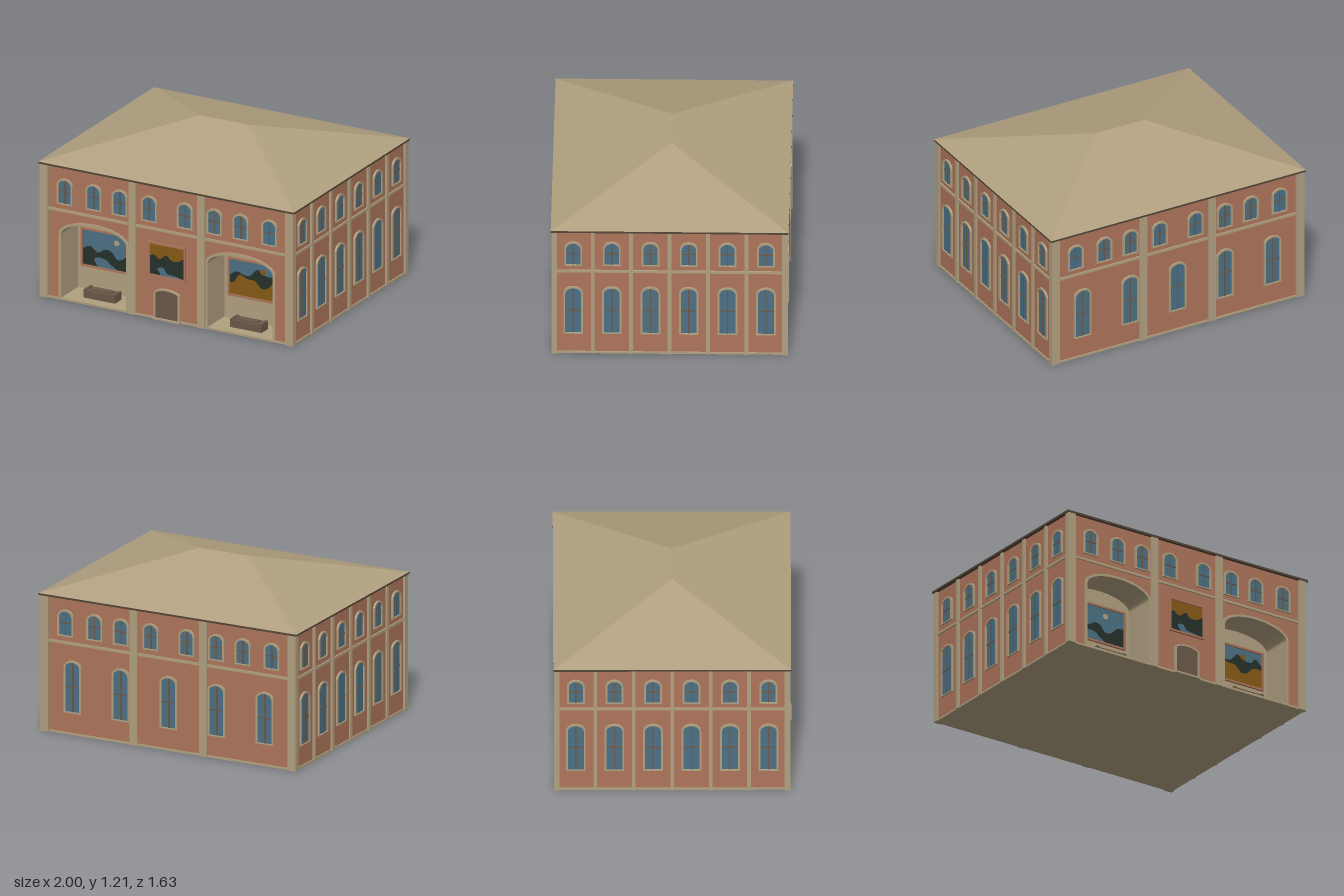
import * as THREE from 'three';

const mat = (name, color) => Object.assign(new THREE.MeshStandardMaterial({ color }), { name });
const M = {
  stone: mat('stone', 0xb1a080),
  brick: mat('brick', 0xae755b),
  glass: mat('blue', 0x4c7084),
  wood: mat('wood', 0x6b5848),
  eave: mat('eaveBrown', 0x544638),
  dark: mat('darkGreen', 0x26302a),
  ochre: mat('ochre', 0x865a14),
};
const WALL_Z = 0.79, WALL_X = 0.975, NICHE_Z = 0.565, TOP = 0.975;

function add(parent, name, geo, material, x = 0, y = 0, z = 0) {
  const m = new THREE.Mesh(geo, material);
  m.name = name;
  m.position.set(x, y, z);
  parent.add(m);
  return m;
}
// box given by its min and max on each axis
function box(parent, name, material, x0, x1, y0, y1, z0, z1) {
  return add(parent, name, new THREE.BoxGeometry(x1 - x0, y1 - y0, z1 - z0), material,
    (x0 + x1) / 2, (y0 + y1) / 2, (z0 + z1) / 2);
}
// opening with straight sides and an elliptical head
function arch(cx, y0, y1, w, rise, C = THREE.Shape) {
  const s = new C();
  s.moveTo(cx - w / 2, y0);
  s.lineTo(cx + w / 2, y0);
  s.lineTo(cx + w / 2, y1 - rise);
  s.absellipse(cx, y1 - rise, w / 2, rise, 0, Math.PI, false, 0);
  s.lineTo(cx - w / 2, y0);
  return s;
}
function rect(x0, x1, y0, y1, C = THREE.Shape) {
  return new C([[x0, y0], [x1, y0], [x1, y1], [x0, y1]].map(p => new THREE.Vector2(...p)));
}
const extrude = (shape, depth) =>
  new THREE.ExtrudeGeometry(shape, { depth, bevelEnabled: false, curveSegments: 14 });

// arched window, built on the plane z = 0 facing +z
function archWindow(parent, cx, y0, y1, w) {
  const g = new THREE.Group();
  g.name = 'archedWindow';
  const t = 0.013, rise = 0.05;
  const ring = arch(cx, y0, y1, w, rise);
  ring.holes.push(arch(cx, y0 + t * 0.6, y1 - t, w - 2 * t, rise - t * 0.6, THREE.Path));
  add(g, 'windowFrame', extrude(ring, 0.013), M.stone);
  add(g, 'windowGlass', extrude(arch(cx, y0 + 0.003, y1 - 0.006, w - 0.01, rise - 0.005), 0.004), M.glass);
  const mid = (y0 + y1) / 2;
  box(g, 'mullion', M.wood, cx - 0.004, cx + 0.004, y0 + 0.006, y1 - t, 0.003, 0.008);
  box(g, 'transom', M.wood, cx - w / 2 + t, cx + w / 2 - t, mid - 0.004, mid + 0.004, 0.003, 0.008);
  parent.add(g);
}
// one wall's trim, built at z = 0 and turned to its side
function facade(parent, name, angle, dist, half, pilasters, pw, upper, lower) {
  const g = new THREE.Group();
  g.name = name;
  for (const x of pilasters) box(g, 'pilaster', M.stone, x - pw / 2, x + pw / 2, 0, TOP, -0.01, 0.015);
  box(g, 'stringCourse', M.stone, -half, half, 0.645, 0.663, -0.01, 0.01);
  for (const x of upper) archWindow(g, x, 0.7, 0.89, 0.122);
  for (const x of lower) archWindow(g, x, 0.157, 0.532, 0.135);
  g.rotation.y = angle;
  g.position.set(Math.sin(angle) * dist, 0, Math.cos(angle) * dist);
  parent.add(g);
}
// thin painted area whose top edge runs smoothly through points
function hills(parent, name, material, pts, base, z) {
  const s = new THREE.Shape();
  s.moveTo(pts[0][0], base);
  s.lineTo(...pts[0]);
  s.splineThru(pts.slice(1).map(p => new THREE.Vector2(...p)));
  s.lineTo(pts[pts.length - 1][0], base);
  add(parent, name, extrude(s, 0.002), material, 0, 0, z);
}
// framed mural: frame, sky, then layers of hills and an optional disc
function mural(parent, name, x0, x1, y0, y1, z, sky, layers, disc) {
  const g = new THREE.Group();
  g.name = name;
  const t = 0.014;
  const ring = rect(x0, x1, y0, y1);
  ring.holes.push(rect(x0 + t, x1 - t, y0 + t, y1 - t, THREE.Path));
  add(g, 'muralFrame', extrude(ring, 0.014), M.brick);
  box(g, 'muralSky', sky, x0 + t, x1 - t, y0 + t, y1 - t, 0, 0.003);
  layers.forEach(([n, m, pts], i) => hills(g, n, m, pts, y0 + t, 0.003 + i * 0.002));
  if (disc) add(g, 'muralDisc', new THREE.CircleGeometry(0.023, 20).scale(1, 0.85, 1), disc[0], disc[1], disc[2], 0.0075);
  g.position.z = z;
  parent.add(g);
}

export function createModel() {
  const model = new THREE.Group();
  model.name = 'building';

  // walls: solid body behind, pierced front in brick
  box(model, 'baseSlab', M.stone, -0.983, 0.983, 0, 0.014, -0.798, 0.798);
  box(model, 'bodyWalls', M.brick, -WALL_X, WALL_X, 0.01, TOP, -WALL_Z, NICHE_Z - 0.01);
  const front = rect(-WALL_X, WALL_X, 0.01, TOP);
  for (const s of [-1, 1]) front.holes.push(arch(s * 0.573, 0.012, 0.593, 0.54, 0.105, THREE.Path));
  add(model, 'frontWall', extrude(front, WALL_Z - NICHE_Z + 0.01), M.brick, 0, 0, NICHE_Z - 0.01);

  // niches with benches
  for (const s of [-1, 1]) {
    const g = new THREE.Group();
    g.name = s < 0 ? 'rightNiche' : 'leftNiche';
    const cx = s * 0.573;
    const ring = arch(cx, 0.002, 0.595, 0.545, 0.107);
    ring.holes.push(arch(cx, 0.016, 0.578, 0.51, 0.097, THREE.Path));
    add(g, 'nicheLining', extrude(ring, 0.8 - NICHE_Z), M.stone, 0, 0, NICHE_Z);
    add(g, 'nicheBack', extrude(arch(cx, 0.004, 0.59, 0.535, 0.103), 0.008), M.stone, 0, 0, NICHE_Z - 0.008);
    box(g, 'bench', M.wood, cx - 0.123, cx + 0.123, 0.016, 0.07, 0.63, 0.72);
    box(g, 'benchTop', M.wood, cx - 0.075, cx + 0.075, 0.07, 0.08, 0.65, 0.7);
    for (const e of [-1, 1])
      box(g, 'benchEnd', M.wood, cx + e * 0.112 - 0.011, cx + e * 0.112 + 0.011, 0.07, 0.077, 0.63, 0.72);
    model.add(g);
  }

  // murals
  mural(model, 'riverMural', -0.8, -0.355, 0.183, 0.467, NICHE_Z, M.glass, [
    ['hills', M.dark, [[-0.785, 0.31], [-0.73, 0.335], [-0.67, 0.3], [-0.61, 0.33], [-0.56, 0.32],
      [-0.52, 0.275], [-0.47, 0.285], [-0.42, 0.33], [-0.37, 0.335]]],
    ['river', M.glass, [[-0.67, 0.2], [-0.695, 0.25], [-0.65, 0.265], [-0.6, 0.255], [-0.57, 0.23], [-0.52, 0.2]]],
  ], [M.stone, -0.52, 0.395]);
  mural(model, 'desertMural', 0.35, 0.795, 0.183, 0.467, NICHE_Z, M.glass, [
    ['mountains', M.dark, [[0.365, 0.335], [0.42, 0.365], [0.47, 0.35], [0.52, 0.35], [0.58, 0.405],
      [0.63, 0.375], [0.69, 0.37], [0.73, 0.405], [0.78, 0.365]]],
    ['dunes', M.ochre, [[0.365, 0.28], [0.4, 0.29], [0.44, 0.345], [0.5, 0.325], [0.56, 0.32],
      [0.61, 0.275], [0.66, 0.285], [0.71, 0.33], [0.78, 0.335]]],
  ], [M.ochre, 0.625, 0.395]);
  mural(model, 'sunsetMural', -0.148, 0.145, 0.31, 0.56, WALL_Z, M.ochre, [
    ['hills', M.dark, [[-0.134, 0.455], [-0.1, 0.465], [-0.06, 0.44], [-0.01, 0.475], [0.03, 0.445],
      [0.08, 0.445], [0.131, 0.475]]],
    ['lake', M.glass, [[-0.05, 0.33], [-0.075, 0.37], [-0.03, 0.38], [0.0, 0.345], [0.07, 0.335], [0.11, 0.325]]],
  ]);

  // door
  const doorRing = arch(0, 0, 0.23, 0.2, 0.035);
  doorRing.holes.push(arch(0, 0.012, 0.218, 0.176, 0.03, THREE.Path));
  add(model, 'doorFrame', extrude(doorRing, 0.02), M.stone, 0, 0, WALL_Z - 0.005);
  add(model, 'door', extrude(arch(0, 0.01, 0.222, 0.19, 0.032), 0.012), M.wood, 0, 0, WALL_Z - 0.002);
  box(model, 'doorStep', M.stone, -0.105, 0.105, 0, 0.013, 0.78, 0.815);

  // trim and windows on all four walls
  const top8 = [-0.8, -0.575, -0.37, -0.14, 0.14, 0.37, 0.575, 0.8];
  const sideW = [-0.658, -0.395, -0.131, 0.131, 0.395, 0.658];
  const sideP = [-0.525, -0.263, 0, 0.263, 0.525];
  facade(model, 'frontTrim', 0, WALL_Z, WALL_X, [-0.27, 0.268], 0.057, top8, []);
  facade(model, 'backTrim', Math.PI, WALL_Z, WALL_X, [-0.27, 0.27], 0.057, top8, [-0.745, -0.372, 0, 0.372, 0.745]);
  for (const s of [-1, 1]) {
    facade(model, s < 0 ? 'rightTrim' : 'leftTrim', s * Math.PI / 2, WALL_X, WALL_Z, sideP, 0.026, sideW, sideW);
    for (const k of [-1, 1])
      add(model, 'cornerPilaster', new THREE.BoxGeometry(0.062, TOP, 0.04), M.stone, s * 0.96, TOP / 2, k * 0.788);
  }

  // hipped roof over a thin eave
  box(model, 'eave', M.eave, -1, 1, 0.97, 0.984, -0.812, 0.812);
  const a = [-1, 0.984, 0.812], b = [1, 0.984, 0.812], c = [1, 0.984, -0.812], d = [-1, 0.984, -0.812];
  const p = [-0.19, 1.205, 0], q = [0.19, 1.205, 0];
  const roof = new THREE.BufferGeometry();
  roof.setAttribute('position', new THREE.Float32BufferAttribute(
    [a, b, q, a, q, p, b, c, q, c, d, p, c, p, q, d, a, p].flat(), 3));
  roof.computeVertexNormals();
  add(model, 'roof', roof, M.stone);
  return model;
}
